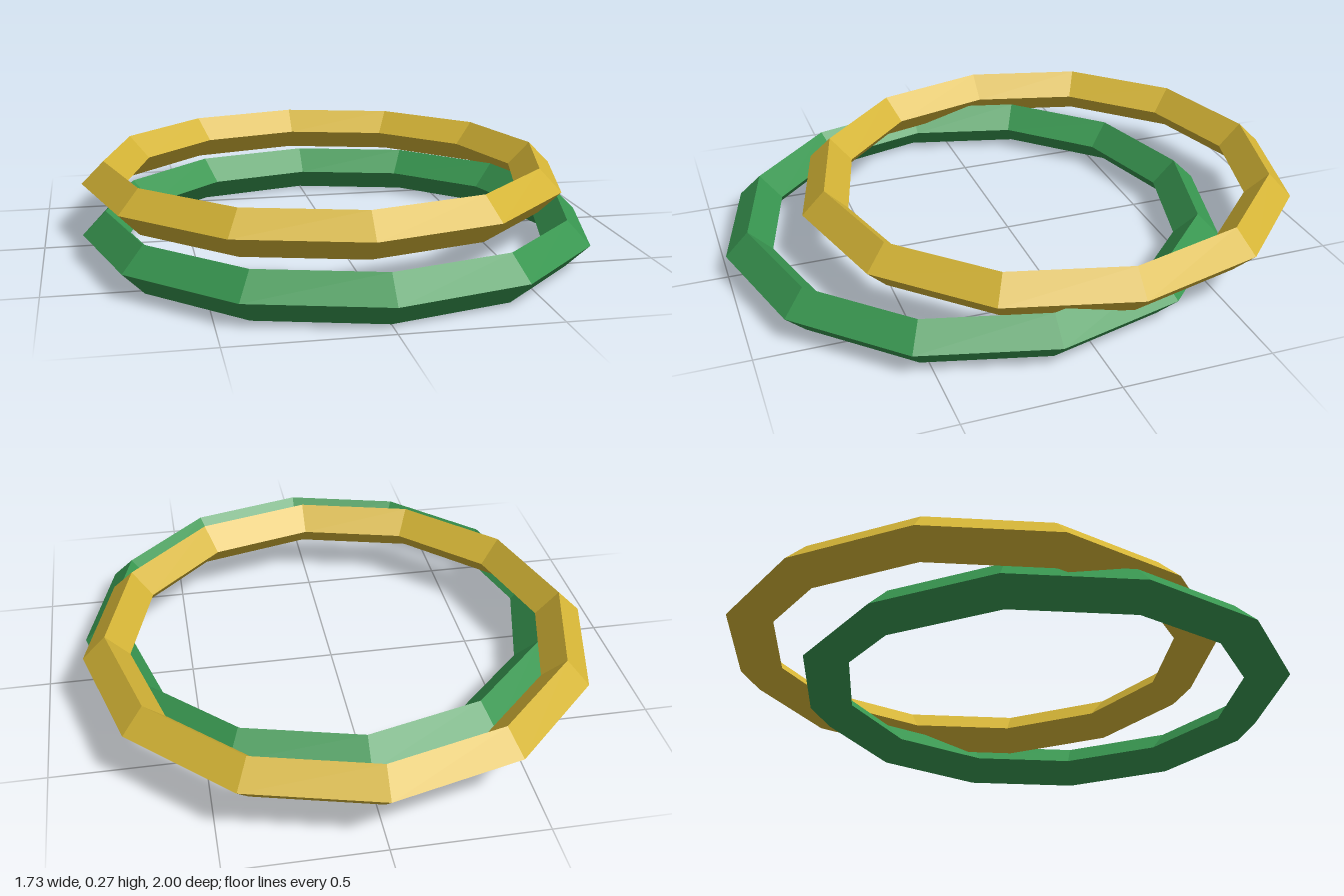
import * as THREE from 'three';

// Two overlapping twelve-sided rings with a diamond cross-section
const MAJOR = 0.788;
const TUBE = 0.079;

function makeMaterial(name, color) {
  const material = new THREE.MeshStandardMaterial({ color, flatShading: true });
  material.name = name;
  return material;
}

function makeRing(name, material, y, z) {
  const geometry = new THREE.TorusGeometry(MAJOR, TUBE, 4, 12);
  geometry.rotateX(-Math.PI / 2); // lay the ring flat
  const ring = new THREE.Mesh(geometry, material);
  ring.name = name;
  ring.position.set(0, y, z);
  return ring;
}

export function createModel() {
  const model = new THREE.Group();
  model.name = 'interlockedRings';
  model.add(
    makeRing('lowerRing', makeMaterial('green', 0x389650), TUBE, 0.133),
    makeRing('upperRing', makeMaterial('gold', 0xd4b436), 0.187, -0.133)
  );
  return model;
}
